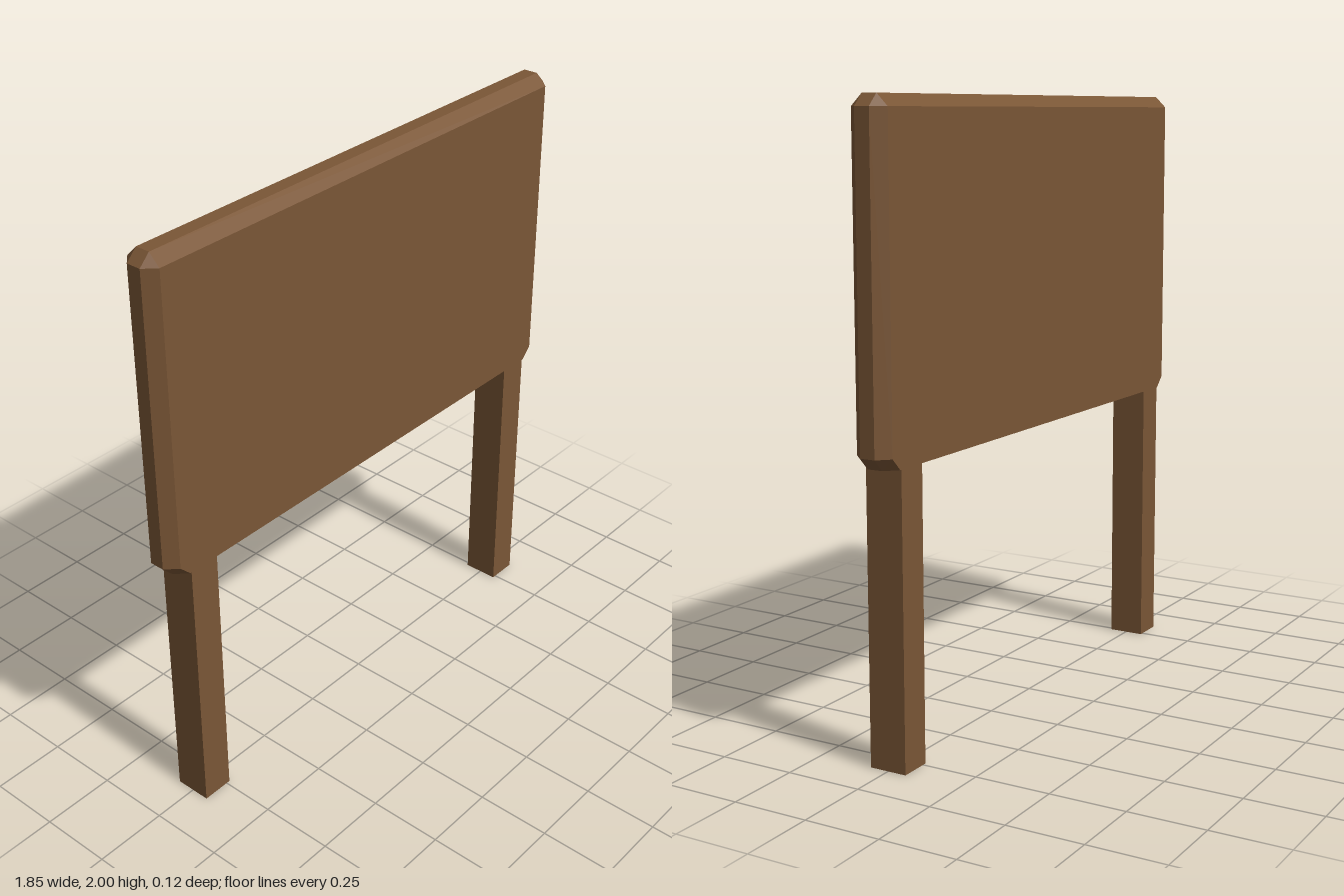
import * as THREE from 'three';
import { ConvexGeometry } from 'three/addons/geometries/ConvexGeometry.js';

const DEPTH = 0.125;
const PANEL_BOTTOM = 0.93;

// Eight-cornered level section: the ends reach endX at +-endZ, the faces reach faceX at +-faceZ
function section(y, endX, endZ, faceX, faceZ) {
  const points = [];
  for (const sx of [-1, 1]) {
    for (const sz of [-1, 1]) {
      points.push(new THREE.Vector3(sx * endX, y, sz * endZ));
      points.push(new THREE.Vector3(sx * faceX, y, sz * faceZ));
    }
  }
  return points;
}

export function createModel() {
  const group = new THREE.Group();
  group.name = 'headboard';
  const wood = new THREE.MeshStandardMaterial({ color: 0x7a5636 });
  wood.flatShading = true;

  // Panel with bevelled sides and top, cut bottom corners and a flat underside
  const half = DEPTH / 2;
  const panel = new THREE.Mesh(new ConvexGeometry([
    ...section(PANEL_BOTTOM, 0.888, 0.025, 0.85, half),
    ...section(0.968, 0.925, 0.025, 0.888, half),
    ...section(1.963, 0.925, 0.025, 0.888, half),
    new THREE.Vector3(-0.888, 2, -0.025),
    new THREE.Vector3(-0.888, 2, 0.025),
    new THREE.Vector3(0.888, 2, -0.025),
    new THREE.Vector3(0.888, 2, 0.025),
  ]), wood);
  panel.name = 'panel';
  group.add(panel);

  // Square legs, flush with the panel faces
  const legGeometry = new THREE.BoxGeometry(0.108, PANEL_BOTTOM, DEPTH);
  for (const [name, side] of [['leftLeg', 1], ['rightLeg', -1]]) {
    const leg = new THREE.Mesh(legGeometry, wood);
    leg.name = name;
    leg.position.set(side * 0.791, PANEL_BOTTOM / 2, 0);
    group.add(leg);
  }
  return group;
}
